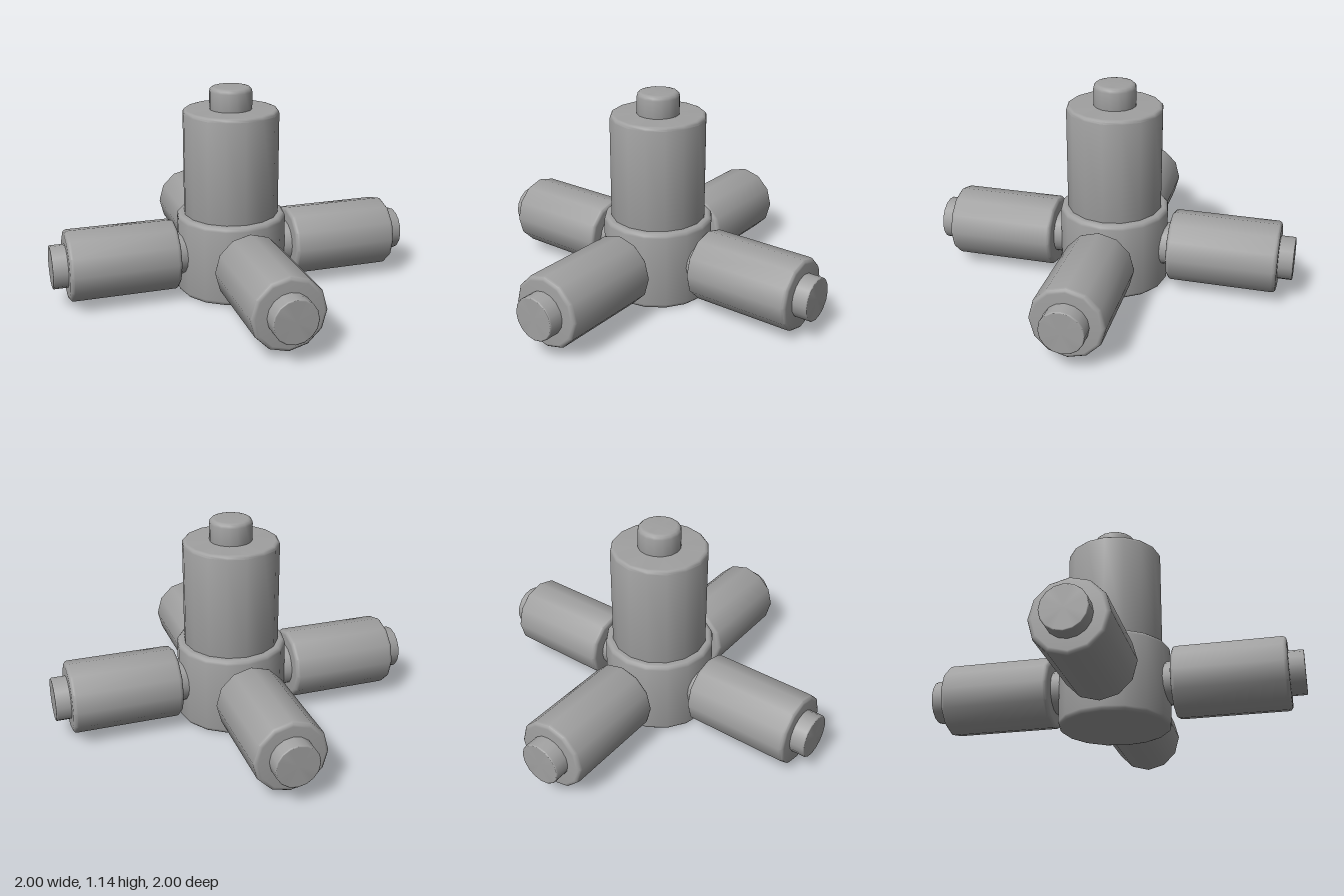
import * as THREE from 'three';
import { toCreasedNormals } from 'three/addons/utils/BufferGeometryUtils.js';

const steel = new THREE.MeshStandardMaterial({ color: 0xa0a0a0 });
steel.name = 'grey';

// Upright cylinder from y0 to y1 with softly rounded rims
function roundedCylinder(name, radius, y0, y1, bevel, sides) {
  const points = [new THREE.Vector2(0, y0), new THREE.Vector2(radius - bevel - 0.003, y0)];
  const inner = radius - bevel;
  for (let i = 0; i <= 3; i++) {
    const a = (i / 3) * Math.PI / 2;
    points.push(new THREE.Vector2(inner + bevel * Math.sin(a), y0 + bevel * (1 - Math.cos(a))));
  }
  for (let i = 3; i >= 0; i--) {
    const a = (i / 3) * Math.PI / 2;
    points.push(new THREE.Vector2(inner + bevel * Math.sin(a), y1 - bevel * (1 - Math.cos(a))));
  }
  points.push(new THREE.Vector2(inner - 0.003, y1), new THREE.Vector2(0, y1));
  const geometry = toCreasedNormals(new THREE.LatheGeometry(points, sides), 0.65);
  const mesh = new THREE.Mesh(geometry, steel);
  mesh.name = name;
  return mesh;
}

export function createModel() {
  const model = new THREE.Group();
  model.name = 'fourWayConnector';

  // Central column
  model.add(
    roundedCylinder('hub', 0.3, 0, 0.445, 0.025, 16),
    roundedCylinder('column', 0.26, 0.4, 1.02, 0.02, 16),
    roundedCylinder('columnTip', 0.115, 0.98, 1.14, 0.025, 16)
  );

  // Four arms, each a sleeve on a thinner rod
  for (let i = 0; i < 4; i++) {
    const arm = new THREE.Group();
    arm.name = ['frontArm', 'leftArm', 'backArm', 'rightArm'][i];
    const pipe = new THREE.Group();
    pipe.name = 'pipe';
    pipe.add(
      roundedCylinder('rod', 0.117, 0.1, 1, 0.006, 16),
      roundedCylinder('sleeve', 0.195, 0.325, 0.92, 0.022, 12)
    );
    pipe.rotation.x = Math.PI / 2;
    arm.add(pipe);
    arm.position.y = 0.23;
    arm.rotation.y = i * Math.PI / 2;
    model.add(arm);
  }
  return model;
}
